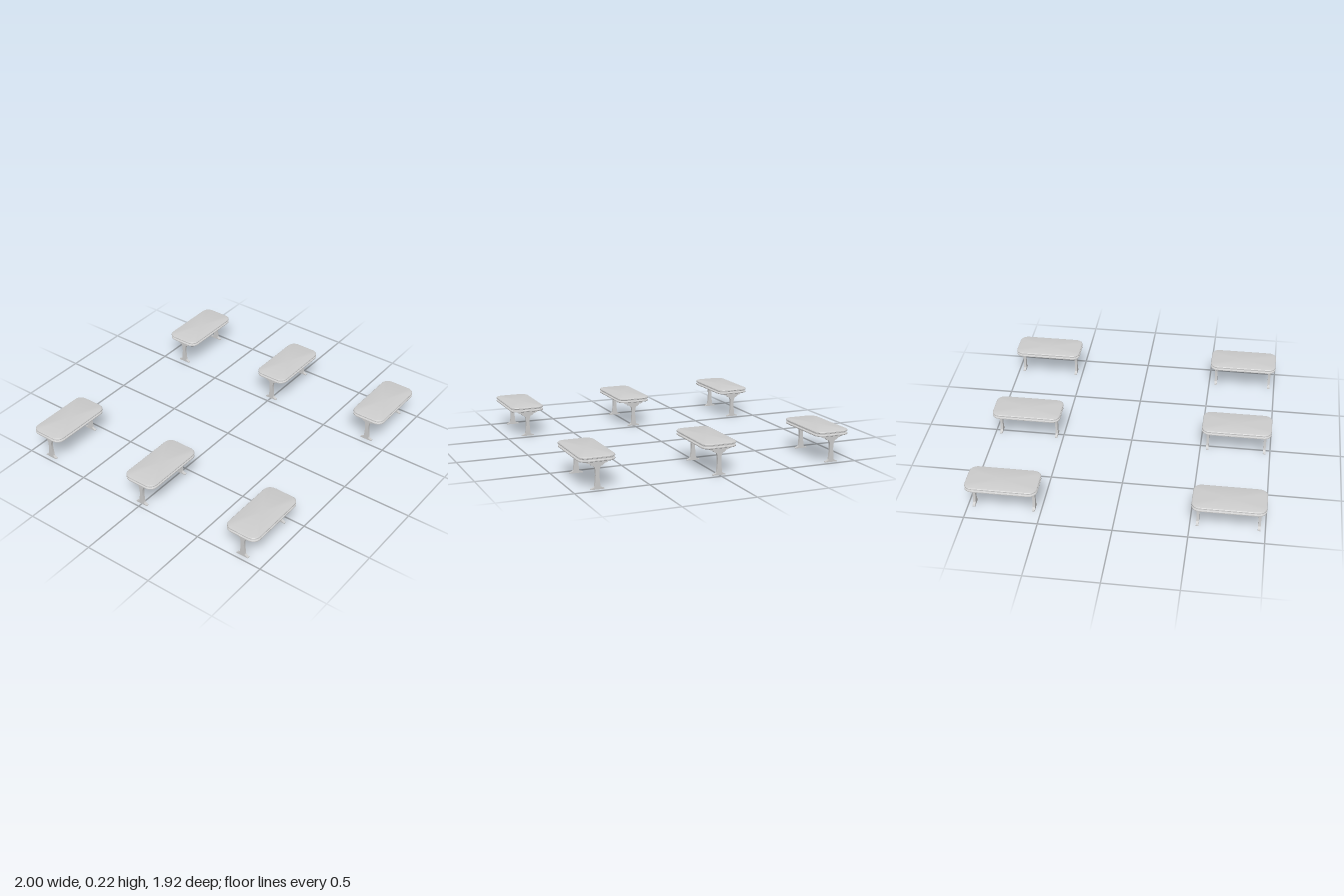
import * as THREE from 'three';
import { toCreasedNormals } from 'three/addons/utils/BufferGeometryUtils.js';

const material = new THREE.MeshStandardMaterial({ color: 0xcccccc });
const HALF_W = 0.245, HALF_D = 0.123, CORNER = 0.055, STEPS = 6;

// Closed rounded-rectangle loop, pulled inward by inset
function roundedLoop(inset, y) {
  const r = CORNER - inset, points = [];
  for (let q = 0; q < 4; q++) {
    const sx = q === 0 || q === 3 ? 1 : -1, sz = q < 2 ? 1 : -1;
    for (let k = 0; k <= STEPS; k++) {
      const a = (q + k / STEPS) * Math.PI / 2;
      points.push([sx * (HALF_W - CORNER) + r * Math.cos(a), y, sz * (HALF_D - CORNER) + r * Math.sin(a)]);
    }
  }
  return points;
}

// Table top: edge profile of [inset, y] swept round the outline; null inset closes at the centre
function tableTopGeometry() {
  const profile = [
    [null, 0.2], [0.026, 0.2], [0.022, 0.186], [0.004, 0.186], [0, 0.189], [0, 0.195],
    [0.011, 0.2], [0.011, 0.206], [0, 0.21], [0, 0.216], [0.004, 0.22], [0.015, 0.223], [null, 0.223],
  ];
  const n = 4 * (STEPS + 1), positions = [], index = [];
  for (const [inset, y] of profile) {
    const loop = inset === null ? Array.from({ length: n }, () => [0, y, 0]) : roundedLoop(inset, y);
    positions.push(...loop.flat());
  }
  for (let j = 0; j < profile.length - 1; j++) {
    for (let i = 0; i < n; i++) {
      const k = (i + 1) % n, a = j * n + i, b = j * n + k;
      if (j < profile.length - 2) index.push(a, a + n, b);
      if (j > 0) index.push(b, a + n, b + n);
      if (j === profile.length - 2) index.push(a, a + n, b);
    }
  }
  // The first strip fans out from the centre, so only its outer triangles have area
  for (let i = 0; i < n; i++) index.push(i, n + i, n + (i + 1) % n);
  const geometry = new THREE.BufferGeometry();
  geometry.setAttribute('position', new THREE.Float32BufferAttribute(positions, 3));
  geometry.setIndex(index);
  return toCreasedNormals(geometry, 0.5);
}

// Pedestal leg: flared bracket, slim post and spreading foot, mirrored about the middle
function legGeometry() {
  const s = new THREE.Shape();
  s.moveTo(-0.045, 0);
  s.lineTo(0.045, 0);
  s.lineTo(0.045, 0.005);
  s.quadraticCurveTo(0.02, 0.011, 0.018, 0.022);
  s.lineTo(0.012, 0.09);
  s.quadraticCurveTo(0.012, 0.14, 0.024, 0.15);
  s.quadraticCurveTo(0.043, 0.154, 0.046, 0.166);
  s.quadraticCurveTo(0.075, 0.17, 0.08, 0.186);
  s.lineTo(0.08, 0.2);
  s.lineTo(-0.08, 0.2);
  s.lineTo(-0.08, 0.186);
  s.quadraticCurveTo(-0.075, 0.17, -0.046, 0.166);
  s.quadraticCurveTo(-0.043, 0.154, -0.024, 0.15);
  s.quadraticCurveTo(-0.012, 0.14, -0.012, 0.09);
  s.lineTo(-0.018, 0.022);
  s.quadraticCurveTo(-0.02, 0.011, -0.045, 0.005);
  const g = new THREE.ExtrudeGeometry(s, { depth: 0.018, bevelEnabled: false, curveSegments: 5 });
  g.translate(0, 0, -0.009);
  g.rotateY(Math.PI / 2);
  return toCreasedNormals(g, 0.6);
}

// Arched rail joining the two legs under the top
function archGeometry() {
  const s = new THREE.Shape();
  s.moveTo(-0.2, 0.148);
  s.quadraticCurveTo(0, 0.2, 0.2, 0.148);
  s.lineTo(0.2, 0.2);
  s.lineTo(-0.2, 0.2);
  const g = new THREE.ExtrudeGeometry(s, { depth: 0.014, bevelEnabled: false, curveSegments: 16 });
  g.translate(0, 0, -0.007);
  return toCreasedNormals(g, 0.6);
}

export function createModel() {
  const model = new THREE.Group();
  model.name = 'tables';
  const top = tableTopGeometry(), leg = legGeometry(), arch = archGeometry();

  const addPart = (parent, geometry, name, x = 0) => {
    const mesh = new THREE.Mesh(geometry, material);
    mesh.name = name;
    mesh.position.x = x;
    parent.add(mesh);
  };

  // Two columns of three tables
  for (const x of [-0.755, 0.755]) {
    for (const z of [-0.837, 0, 0.837]) {
      const table = new THREE.Group();
      table.name = 'table';
      addPart(table, top, 'tableTop');
      addPart(table, leg, 'rightLeg', -0.204);
      addPart(table, leg, 'leftLeg', 0.204);
      addPart(table, arch, 'archedRail');
      table.position.set(x, 0, z);
      model.add(table);
    }
  }
  return model;
}
